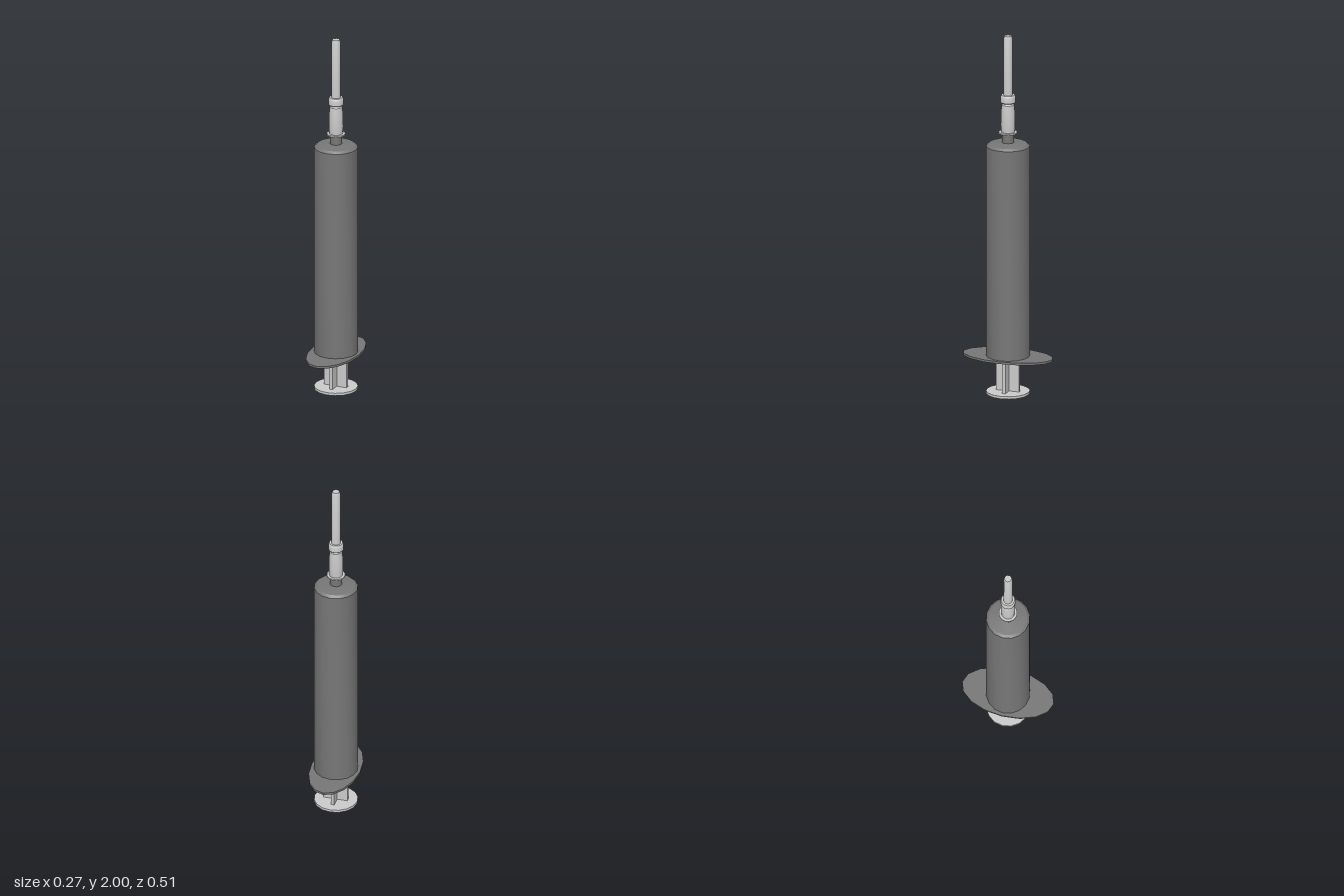
import * as THREE from 'three';
import { toCreasedNormals } from 'three/addons/utils/BufferGeometryUtils.js';

const SIDES = 16;

export function createModel() {
  const model = new THREE.Group();
  const grey = new THREE.MeshStandardMaterial({ color: 0xcccccc });
  const dark = new THREE.MeshStandardMaterial({ color: 0x777777, side: THREE.DoubleSide });

  const add = (name, geometry, material, parent = model) => {
    const mesh = new THREE.Mesh(geometry, material);
    mesh.name = name;
    parent.add(mesh);
    return mesh;
  };

  // Turned part from [radius, height] pairs, listed bottom to top on the outside
  const turned = (name, profile, material, parent) => {
    const points = profile.map(([r, y]) => new THREE.Vector2(r, y));
    return add(name, toCreasedNormals(new THREE.LatheGeometry(points, SIDES), 0.5), material, parent);
  };

  // Hollow barrel with a chamfered shoulder and outlet nozzle
  turned('barrel', [
    [0.104, 0.2], [0.118, 0.2], [0.118, 1.385], [0.104, 1.397], [0.033, 1.405],
    [0.033, 1.46], [0.015, 1.46], [0.015, 1.39], [0.104, 1.378], [0.104, 0.2],
  ], dark);

  // Oval finger flange with an opening for the plunger
  const oval = new THREE.Shape();
  for (let i = 0; i < SIDES; i++) {
    const a = (i / SIDES) * Math.PI * 2;
    const x = 0.135 * Math.cos(a), y = 0.253 * Math.sin(a);
    if (i) oval.lineTo(x, y); else oval.moveTo(x, y);
  }
  oval.closePath();
  const opening = new THREE.Path();
  opening.absarc(0, 0, 0.104, 0, Math.PI * 2, true);
  oval.holes.push(opening);
  const flange = new THREE.ExtrudeGeometry(oval, { depth: 0.012, bevelEnabled: false, curveSegments: 8 });
  flange.rotateX(-Math.PI / 2).translate(0, 0.2, 0);
  add('fingerFlange', flange, dark);

  // Plunger: thumb disc, two crossed ribs and a stopper inside the barrel
  const plunger = new THREE.Group();
  plunger.name = 'plunger';
  model.add(plunger);
  turned('thumbDisc', [[0, 0], [0.118, 0], [0.118, 0.014], [0, 0.014]], grey, plunger);
  for (let i = 0; i < 2; i++) {
    const rib = new THREE.BoxGeometry(0.132, 1.29, 0.018);
    rib.translate(0, 0.659, 0).rotateY((i * Math.PI) / 2);
    add('plungerRib', rib, grey, plunger);
  }
  turned('stopper', [[0, 1.28], [0.1, 1.28], [0.1, 1.35], [0, 1.37]], grey, plunger);

  // Needle hub with a rim at its base
  turned('needleHub', [
    [0, 1.455], [0.05, 1.455], [0.05, 1.463], [0.036, 1.463], [0.039, 1.5],
    [0.038, 1.57], [0.034, 1.615], [0.028, 1.622], [0.028, 1.64], [0, 1.64],
  ], grey);

  // Protective needle cap with a thicker collar
  turned('needleCap', [
    [0, 1.625], [0.036, 1.625], [0.041, 1.63], [0.041, 1.66], [0.036, 1.67],
    [0.025, 1.67], [0.024, 1.985], [0.019, 2], [0, 2],
  ], grey);

  return model;
}
